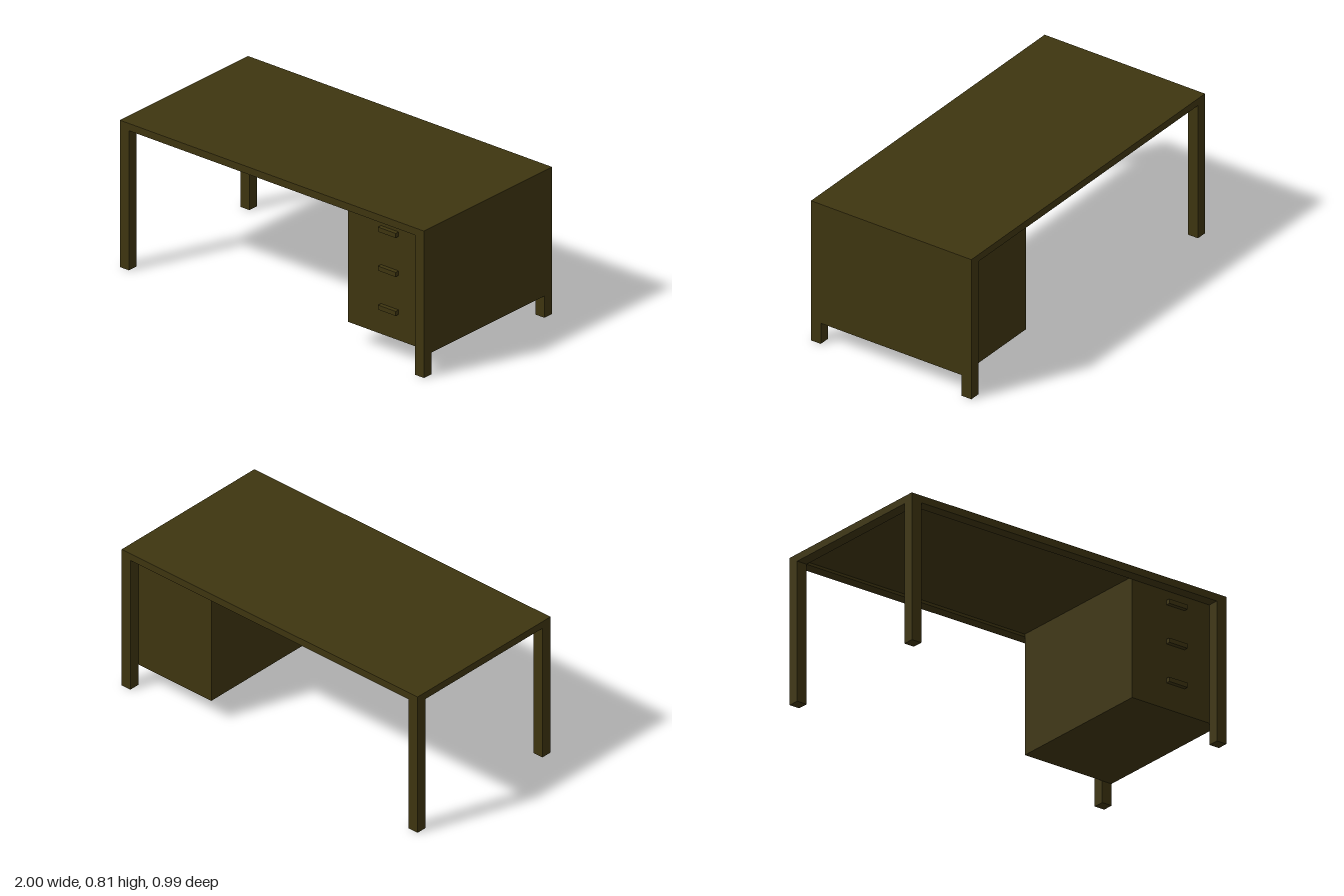
import * as THREE from 'three';

export function createModel() {
  const group = new THREE.Group();
  group.name = 'desk';
  const wood = new THREE.MeshStandardMaterial({ color: 0x3e3510 });
  wood.name = 'dark olive wood';

  const X = 0.9975, Z = 0.4925; // half length and half depth
  const T = 0.06;               // leg and rail width

  // Box given by its lower and upper limits on each axis
  function box(name, x0, x1, y0, y1, z0, z1) {
    const mesh = new THREE.Mesh(new THREE.BoxGeometry(x1 - x0, y1 - y0, z1 - z0), wood);
    mesh.position.set((x0 + x1) / 2, (y0 + y1) / 2, (z0 + z1) / 2);
    mesh.name = name;
    group.add(mesh);
  }

  // Table top, with a shallow rim beneath its edge
  box('tableTop', -X, X, 0.785, 0.81, -Z, Z);
  for (const s of [-1, 1]) {
    const zc = s * (Z - T / 2), xc = s * (X - T / 2);
    box(s > 0 ? 'frontRail' : 'backRail', -X, X, 0.77, 0.785, zc - T / 2, zc + T / 2);
    box(s > 0 ? 'leftRail' : 'rightRail', xc - T / 2, xc + T / 2, 0.77, 0.785, -Z + T, Z - T);

    // Legs, flush with the corners
    for (const t of [-1, 1]) {
      const lz = t * (Z - T / 2);
      box(t > 0 ? 'frontLeg' : 'backLeg', xc - T / 2, xc + T / 2, 0, 0.77, lz - T / 2, lz + T / 2);
    }
  }

  // Drawer cabinet between the left legs, flush with the desk's end
  box('drawerCabinet', 0.4475, X, 0.12, 0.785, -Z + T, Z - T);

  // Drawer handles
  for (const y of [0.275, 0.49, 0.705]) {
    box('drawerHandle', 0.665, 0.78, y - 0.0125, y + 0.0125, Z - T, Z - T + 0.024);
  }

  // The desk stands very slightly turned
  group.rotation.y = 0.005;
  return group;
}
